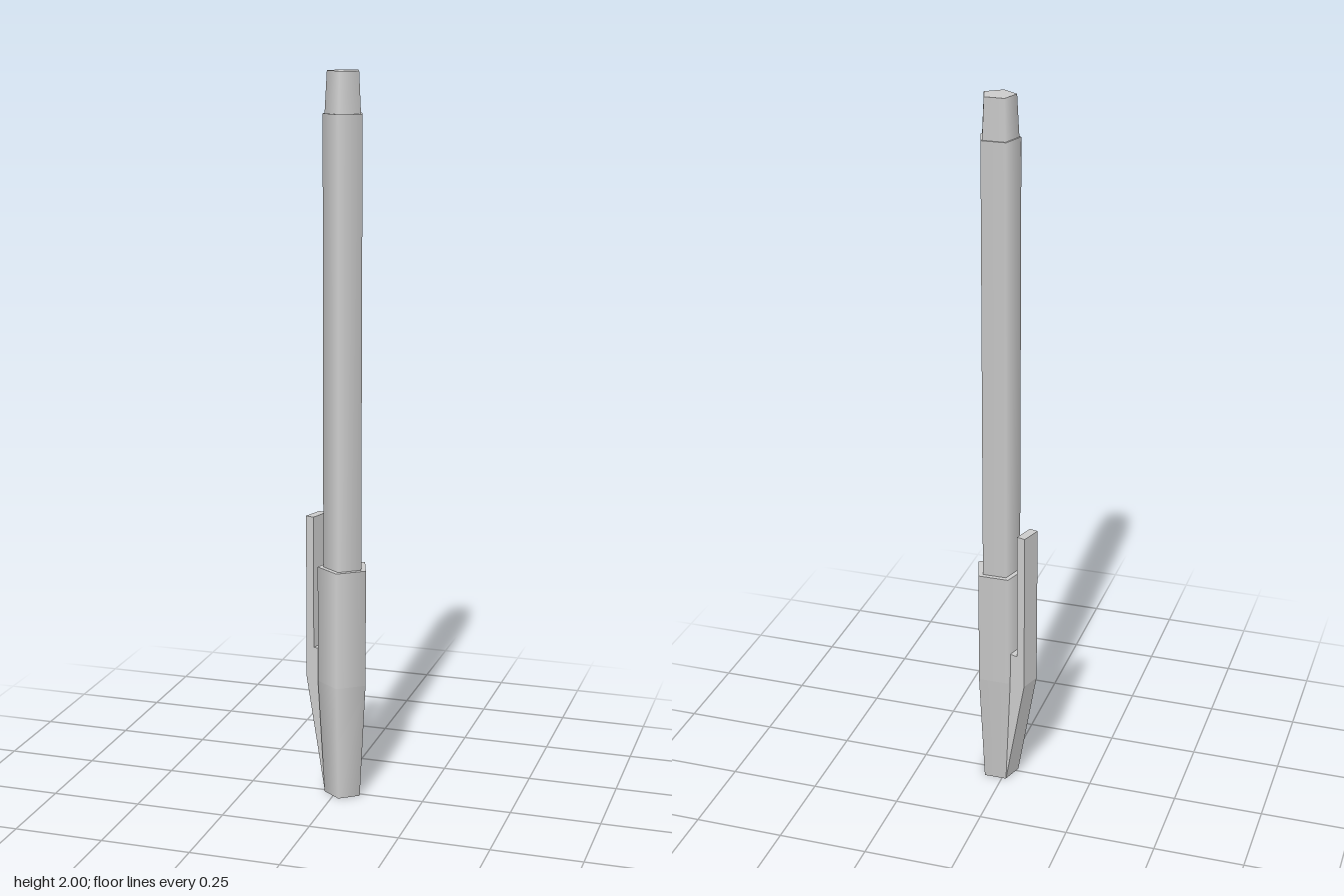
import * as THREE from 'three';

export function createModel() {
  const model = new THREE.Group();
  model.name = 'pen';
  const mat = new THREE.MeshStandardMaterial({ color: 0xcccccc });

  // Five-sided section between two heights, one corner facing front
  const prism = (name, rBottom, rTop, y0, y1) => {
    const geo = new THREE.CylinderGeometry(rTop, rBottom, y1 - y0, 5);
    const mesh = new THREE.Mesh(geo, mat);
    mesh.name = name;
    mesh.position.set(0.02, (y0 + y1) / 2, -0.005);
    model.add(mesh);
  };

  prism('capTip', 0.054, 0.0725, 0, 0.33);
  prism('capSleeve', 0.0725, 0.0725, 0.33, 0.66);
  prism('barrel', 0.057, 0.057, 0.6, 1.89);
  prism('endPlug', 0.052, 0.046, 1.89, 2);

  // Pocket clip: side profile (distance from axis, height) extruded to its width
  const width = 0.062;
  const profile = new THREE.Shape([
    [0.035, 0], [0.0437, 0], [0.106, 0.33], [0.106, 0.795],
    [0.081, 0.795], [0.081, 0.42], [0.05, 0.42], [0.05, 0.3],
  ].map(([d, y]) => new THREE.Vector2(d, y)));
  const clipGeo = new THREE.ExtrudeGeometry(profile, { depth: width, bevelEnabled: false });
  clipGeo.translate(0, 0, -width / 2);
  const clip = new THREE.Mesh(clipGeo, mat);
  clip.name = 'pocketClip';
  clip.rotation.y = Math.PI * 0.9; // square to the rear right face of the cap
  clip.position.set(0.02, 0, -0.005);
  model.add(clip);

  return model;
}
